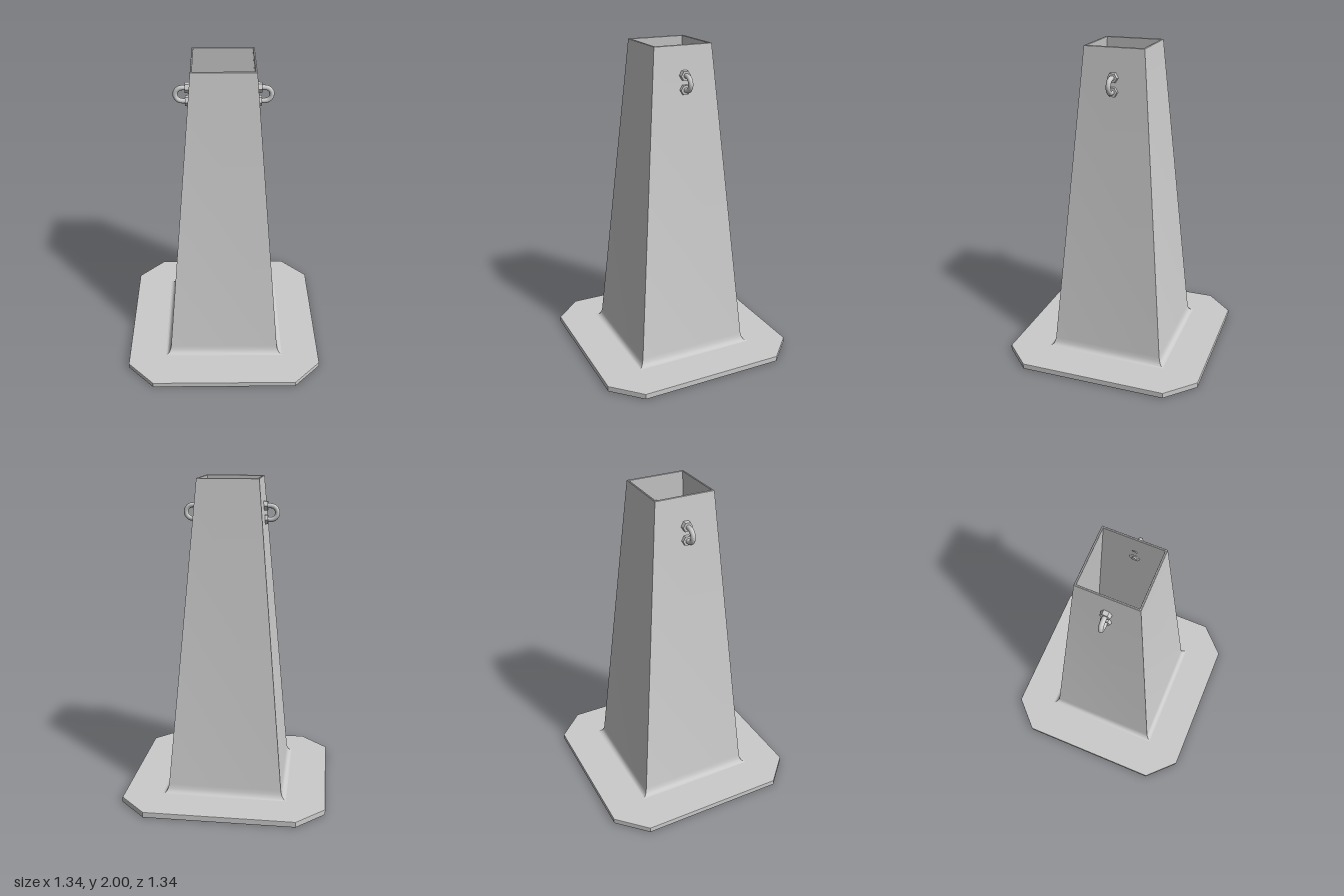
import * as THREE from 'three';
import { toCreasedNormals } from 'three/addons/utils/BufferGeometryUtils.js';

const material = new THREE.MeshStandardMaterial({ color: 0xcccccc });

function part(name, geometry, parent) {
  const mesh = new THREE.Mesh(geometry, material);
  mesh.name = name;
  parent.add(mesh);
  return mesh;
}

// Square base plate with cut corners and a slightly softened edge
function plateGeometry() {
  const b = 0.004, h = 0.637 - b, c = 0.464 - b / 2;
  const shape = new THREE.Shape([
    [h, -c], [h, c], [c, h], [-c, h], [-h, c], [-h, -c], [-c, -h], [c, -h],
  ].map(([x, y]) => new THREE.Vector2(x, y)));
  const geometry = new THREE.ExtrudeGeometry(shape, {
    depth: 0.036 - 2 * b, bevelThickness: b, bevelSize: b, bevelSegments: 2,
  });
  return geometry.translate(0, 0, b).rotateX(-Math.PI / 2);
}

// Hollow tapered square tower: [half width, height] up the outside, over the rim, down the inside
function towerGeometry() {
  const profile = [
    [0.405, 0.033], [0.383, 0.038], [0.37, 0.047], [0.362, 0.065], [0.357, 0.09],
    [0.187, 1.997], [0.184, 2], [0.178, 2], [0.176, 1.997], [0.349, 0.034],
  ].map(([r, y]) => new THREE.Vector2(r * Math.SQRT2, y));
  const geometry = new THREE.LatheGeometry(profile, 4).rotateY(Math.PI / 4);
  return toCreasedNormals(geometry, 0.6);
}

// U-shaped lifting eye held by two hexagonal nuts, pointing along +x
function liftingEye(name) {
  const eye = new THREE.Group();
  eye.name = name;
  const r = 0.042, bend = 0.243;
  const points = [new THREE.Vector3(0.185, -r, 0), new THREE.Vector3(0.215, -r, 0)];
  for (let i = 0; i <= 8; i++) {
    const a = -Math.PI / 2 + (Math.PI * i) / 8;
    points.push(new THREE.Vector3(bend + r * Math.cos(a), r * Math.sin(a), 0));
  }
  points.push(new THREE.Vector3(0.215, r, 0), new THREE.Vector3(0.185, r, 0));
  part('eyeLoop', new THREE.TubeGeometry(new THREE.CatmullRomCurve3(points), 40, 0.015, 12), eye);
  for (const side of [-1, 1]) {
    const nut = new THREE.CylinderGeometry(0.031, 0.034, 0.032, 6).rotateZ(-Math.PI / 2);
    part('nut', toCreasedNormals(nut, 0.5), eye).position.set(0.211, side * r, 0);
  }
  eye.position.y = 1.783;
  return eye;
}

export function createModel() {
  const model = new THREE.Group();
  model.name = 'taperedBollard';
  const body = new THREE.Group();
  body.name = 'body';
  body.rotation.y = -0.075; // whole piece stands slightly turned
  model.add(body);

  part('basePlate', plateGeometry(), body);
  part('tower', towerGeometry(), body);

  const left = liftingEye('leftLiftingEye');
  const right = liftingEye('rightLiftingEye');
  right.rotation.y = Math.PI;
  body.add(left, right);
  return model;
}
